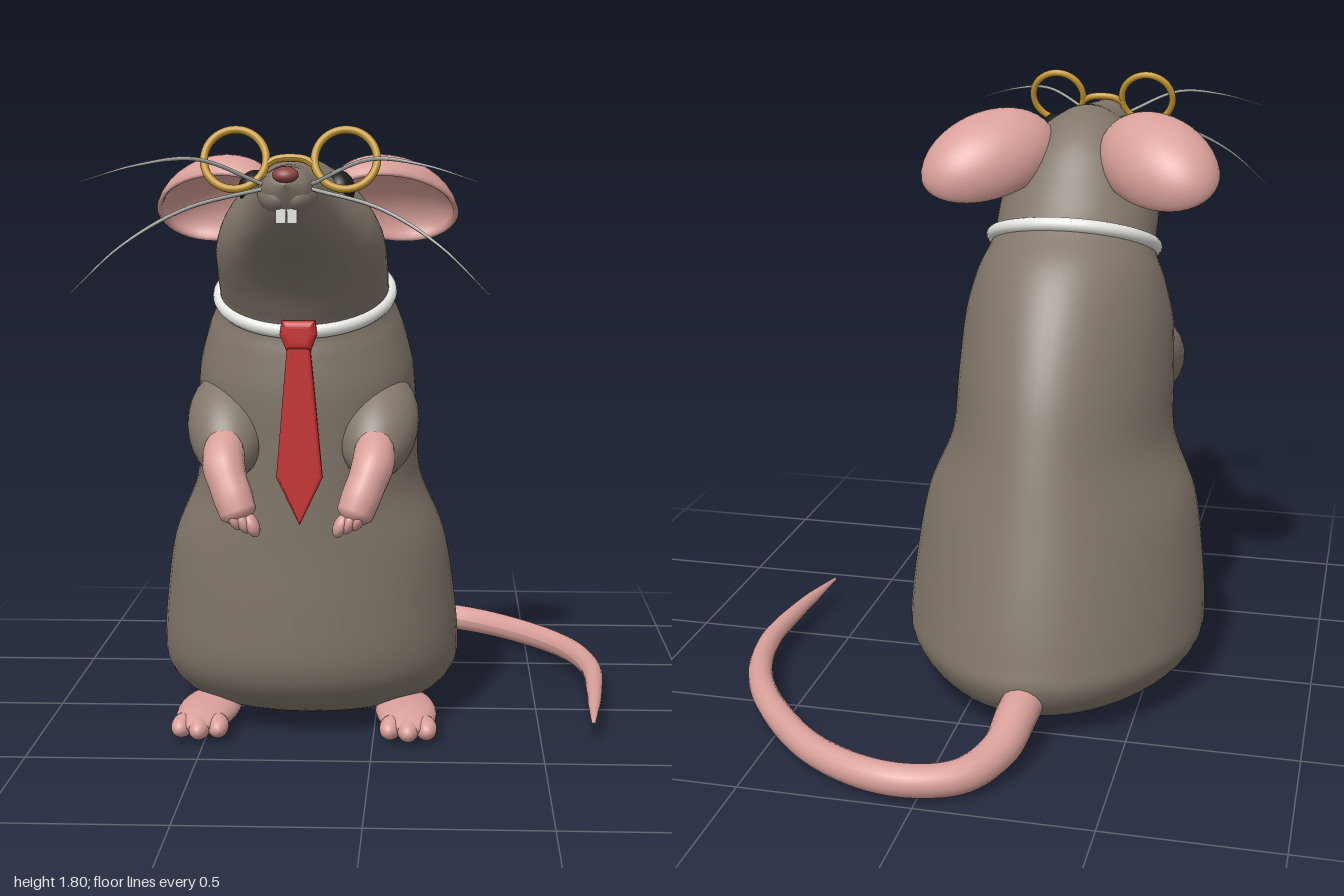
import * as THREE from 'three';

const V = (x, y, z) => new THREE.Vector3(x, y, z);
const mat = (color) => new THREE.MeshStandardMaterial({ color });
const fur = mat(0x82776b), pink = mat(0xd9a09a), gold = mat(0xc4962e), black = mat(0x1c1c1c);
const white = mat(0xe6e6e2), red = mat(0xc43030), noseMat = mat(0x8a4545), hair = mat(0xa8a8a4);

function add(parent, name, geometry, material) {
  const mesh = new THREE.Mesh(geometry, material);
  mesh.name = name;
  parent.add(mesh);
  return mesh;
}

function ellipsoid(parent, name, material, center, radii, rot = [0, 0, 0]) {
  const mesh = add(parent, name, new THREE.SphereGeometry(1, 28, 20), material);
  mesh.position.set(...center);
  mesh.scale.set(...radii);
  mesh.rotation.set(...rot);
  return mesh;
}

// Tube along a smooth path whose radius follows the given list
function taperedTube(points, radii, steps = 40, sides = 16) {
  const curve = new THREE.CatmullRomCurve3(points.map((p) => V(...p)));
  const geo = new THREE.TubeGeometry(curve, steps, 1, sides);
  const pos = geo.attributes.position, v = V();
  for (let i = 0; i <= steps; i++) {
    const c = curve.getPointAt(i / steps);
    const f = (i / steps) * (radii.length - 1), k = Math.min(Math.floor(f), radii.length - 2);
    const r = THREE.MathUtils.lerp(radii[k], radii[k + 1], f - k);
    for (let j = 0; j <= sides; j++) {
      const n = i * (sides + 1) + j;
      v.fromBufferAttribute(pos, n).sub(c).multiplyScalar(r).add(c);
      pos.setXYZ(n, v.x, v.y, v.z);
    }
  }
  geo.computeVertexNormals();
  return geo;
}

// Egg-shaped sections: [backZ, backY, frontZ, frontY, halfWidth, narrowing towards the back]
function loft(sections, steps, sides) {
  const back = new THREE.CatmullRomCurve3(sections.map((s) => V(0, s[1], s[0])));
  const front = new THREE.CatmullRomCurve3(sections.map((s) => V(0, s[3], s[2])));
  const width = new THREE.CatmullRomCurve3(sections.map((s, i) => V(s[4], i * 0.1, s[5])));
  const pos = [], index = [];
  for (let i = 0; i <= steps; i++) {
    const t = i / steps, b = back.getPoint(t), f = front.getPoint(t), w = width.getPoint(t);
    const c = b.clone().add(f).multiplyScalar(0.5), h = b.sub(c);
    for (let j = 0; j < sides; j++) {
      const a = (j / sides) * Math.PI * 2, cos = Math.cos(a);
      pos.push(w.x * Math.sin(a) * (1 - w.z * cos), c.y + h.y * cos, c.z + h.z * cos);
      if (i === steps) continue;
      const p = i * sides + j, q = i * sides + ((j + 1) % sides);
      index.push(p, p + sides, q, q, p + sides, q + sides);
    }
  }
  const geo = new THREE.BufferGeometry();
  geo.setAttribute('position', new THREE.Float32BufferAttribute(pos, 3));
  geo.setIndex(index);
  geo.computeVertexNormals();
  return geo;
}

// Thin bowl with a rounded back, opening forward and down
function ear(parent, s) {
  const pts = [], N = 14;
  for (let i = 0; i <= N; i++) {
    const a = (i / N) * Math.PI / 2;
    pts.push(new THREE.Vector2(0.92 * Math.sin(a), 0.84 * Math.cos(a)));
  }
  pts.push(new THREE.Vector2(0.96, -0.05));
  for (let i = 0; i <= N; i++) {
    const a = (i / N) * Math.PI / 2;
    pts.push(new THREE.Vector2(Math.cos(a), Math.sin(a)));
  }
  const geo = new THREE.LatheGeometry(pts, 40);
  const up = V(-s * 0.15, 0.82, -0.55).normalize();
  const long = V(s * 0.68, -0.34, -0.66).normalize();
  long.addScaledVector(up, -long.dot(up)).normalize();
  const m = new THREE.Matrix4().makeBasis(long, up, long.clone().cross(up));
  m.scale(V(0.23, 0.14, 0.155)).setPosition(s * 0.26, 1.575, 0.135);
  geo.applyMatrix4(m);
  add(parent, 'ear', geo, pink);
}

export function createModel() {
  const root = new THREE.Group();
  const rat = new THREE.Group();
  rat.name = 'rat';
  rat.position.x = -0.205;
  root.add(rat);

  // Body, neck and head in one skin
  add(rat, 'bodyAndHead', loft([
    [-0.15, 0.005, -0.15, 0.005, 0, 0.1],
    [-0.38, 0.02, 0.1, 0.025, 0.25, 0.15],
    [-0.54, 0.08, 0.25, 0.08, 0.38, 0.2],
    [-0.6, 0.17, 0.325, 0.15, 0.44, 0.2],
    [-0.59, 0.25, 0.36, 0.23, 0.45, 0.2],
    [-0.55, 0.42, 0.375, 0.4, 0.435, 0.2],
    [-0.5, 0.6, 0.38, 0.58, 0.405, 0.2],
    [-0.445, 0.8, 0.39, 0.75, 0.335, 0.18],
    [-0.38, 1.0, 0.4, 0.9, 0.325, 0.17],
    [-0.28, 1.2, 0.41, 1.05, 0.315, 0.15],
    [-0.18, 1.33, 0.405, 1.16, 0.285, 0.08],
    [-0.06, 1.42, 0.4, 1.23, 0.25, 0.02],
    [0.04, 1.53, 0.43, 1.29, 0.247, 0.05],
    [0.14, 1.64, 0.47, 1.35, 0.238, 0.15],
    [0.24, 1.705, 0.52, 1.4, 0.21, 0.22],
    [0.34, 1.725, 0.57, 1.437, 0.173, 0.25],
    [0.45, 1.715, 0.63, 1.47, 0.138, 0.2],
    [0.56, 1.705, 0.69, 1.505, 0.11, 0.1],
    [0.68, 1.7, 0.745, 1.55, 0.082, 0],
    [0.77, 1.69, 0.78, 1.6, 0.055, 0],
    [0.805, 1.65, 0.805, 1.65, 0, 0],
  ], 120, 56), fur);

  for (const s of [-1, 1]) {
    ear(rat, s);
    ellipsoid(rat, 'eye', black, [s * 0.115, 1.633, 0.435], [0.045, 0.053, 0.065], [0, s * 0.25, 0]);
    ellipsoid(rat, 'muzzlePad', fur, [s * 0.034, 1.625, 0.72], [0.046, 0.048, 0.07], [0.3, -s * 0.25, 0]);

    // Whiskers
    add(rat, 'upperWhisker', taperedTube([[s * 0.06, 1.65, 0.75], [s * 0.22, 1.715, 0.85],
      [s * 0.36, 1.7, 0.93], [s * 0.49, 1.66, 0.99]], [0.0055, 0.005, 0.001], 20, 6), hair);
    add(rat, 'lowerWhisker', taperedTube([[s * 0.06, 1.64, 0.75], [s * 0.25, 1.59, 0.86],
      [s * 0.4, 1.5, 0.95], [s * 0.52, 1.385, 1.0]], [0.0055, 0.005, 0.001], 20, 6), hair);

    // Arm, paw and short fingers
    ellipsoid(rat, 'upperArm', fur, [s * 0.222, 0.95, 0.285], [0.115, 0.11, 0.195], [0.66, -s * 0.12, 0]);
    add(rat, 'forearm', taperedTube([[s * 0.215, 0.91, 0.4], [s * 0.21, 0.86, 0.47],
      [s * 0.18, 0.78, 0.515], [s * 0.145, 0.69, 0.54]], [0.055, 0.06, 0.06, 0.056, 0.056, 0.052, 0], 30), pink);
    for (const k of [-1, 0, 1]) {
      ellipsoid(rat, 'finger', pink, [s * 0.148 + k * 0.024, 0.715 + s * k * 0.01, 0.54],
        [0.02, 0.036, 0.032], [0, 0, -s * 0.4]);
    }

    // Foot and toes
    ellipsoid(rat, 'foot', pink, [s * 0.3, 0.055, 0.18], [0.092, 0.045, 0.195], [0, s * 0.1, 0]);
    for (const k of [-1, 0, 1]) {
      ellipsoid(rat, 'toe', pink, [s * 0.31 + k * 0.052, 0.046, 0.335 - Math.abs(k) * 0.02],
        [0.033, 0.034, 0.06], [0, k * 0.12, 0]);
    }

    // Glasses ring
    const ring = add(rat, 'glassesRing', new THREE.TorusGeometry(0.083, 0.011, 12, 40), gold);
    ring.position.set(s * 0.147, 1.715, 0.64);
    ring.rotation.x = -0.36;
  }
  add(rat, 'glassesBridge', taperedTube([[-0.066, 1.7, 0.645], [-0.035, 1.716, 0.637],
    [0.035, 1.716, 0.637], [0.066, 1.7, 0.645]], [0.011, 0.011], 16, 10), gold);

  // Nose and teeth
  ellipsoid(rat, 'nose', noseMat, [0, 1.676, 0.79], [0.034, 0.02, 0.03], [0.3, 0, 0]);
  for (const s of [-1, 1]) {
    add(rat, 'tooth', new THREE.BoxGeometry(0.026, 0.045, 0.014), white).position.set(s * 0.0145, 1.573, 0.765);
  }

  // Collar ring around the neck
  const collar = add(rat, 'collar', new THREE.TorusGeometry(0.25, 0.021, 14, 64), white);
  collar.position.set(0, 1.33, 0.17);
  collar.rotation.x = Math.PI / 2 + Math.atan2(0.2, 0.48);

  // Tie with rounded knot
  const blade = new THREE.Shape([[-0.022, 1.2], [-0.056, 0.82], [0, 0.695], [0.056, 0.82], [0.022, 1.2]]
    .map((p) => new THREE.Vector2(...p)));
  add(rat, 'tieBlade', new THREE.ExtrudeGeometry(blade, {
    depth: 0.016, bevelSize: 0.01, bevelThickness: 0.009, bevelSegments: 4,
  }), red).position.z = 0.41;
  const knot = new THREE.Shape([[-0.02, 1.205], [-0.03, 1.23], [-0.028, 1.245], [0.028, 1.245], [0.03, 1.23], [0.02, 1.205]]
    .map((p) => new THREE.Vector2(...p)));
  add(rat, 'tieKnot', new THREE.ExtrudeGeometry(knot, {
    depth: 0.015, bevelSize: 0.022, bevelThickness: 0.016, bevelSegments: 6,
  }), red).position.z = 0.41;

  // Tail curling round to the left side
  add(rat, 'tail', taperedTube([[-0.01, 0.15, -0.45], [0, 0.12, -0.62], [0.02, 0.08, -0.77],
    [0.1, 0.06, -0.9], [0.265, 0.06, -0.953], [0.5, 0.06, -0.87], [0.715, 0.065, -0.66],
    [0.84, 0.07, -0.45], [0.893, 0.075, -0.22], [0.885, 0.075, 0.03], [0.87, 0.07, 0.2], [0.858, 0.065, 0.325]],
  [0.062, 0.06, 0.052, 0.047, 0.046, 0.044, 0.042, 0.04, 0.037, 0.033, 0.028, 0.02, 0.005], 100), pink);

  return root;
}
